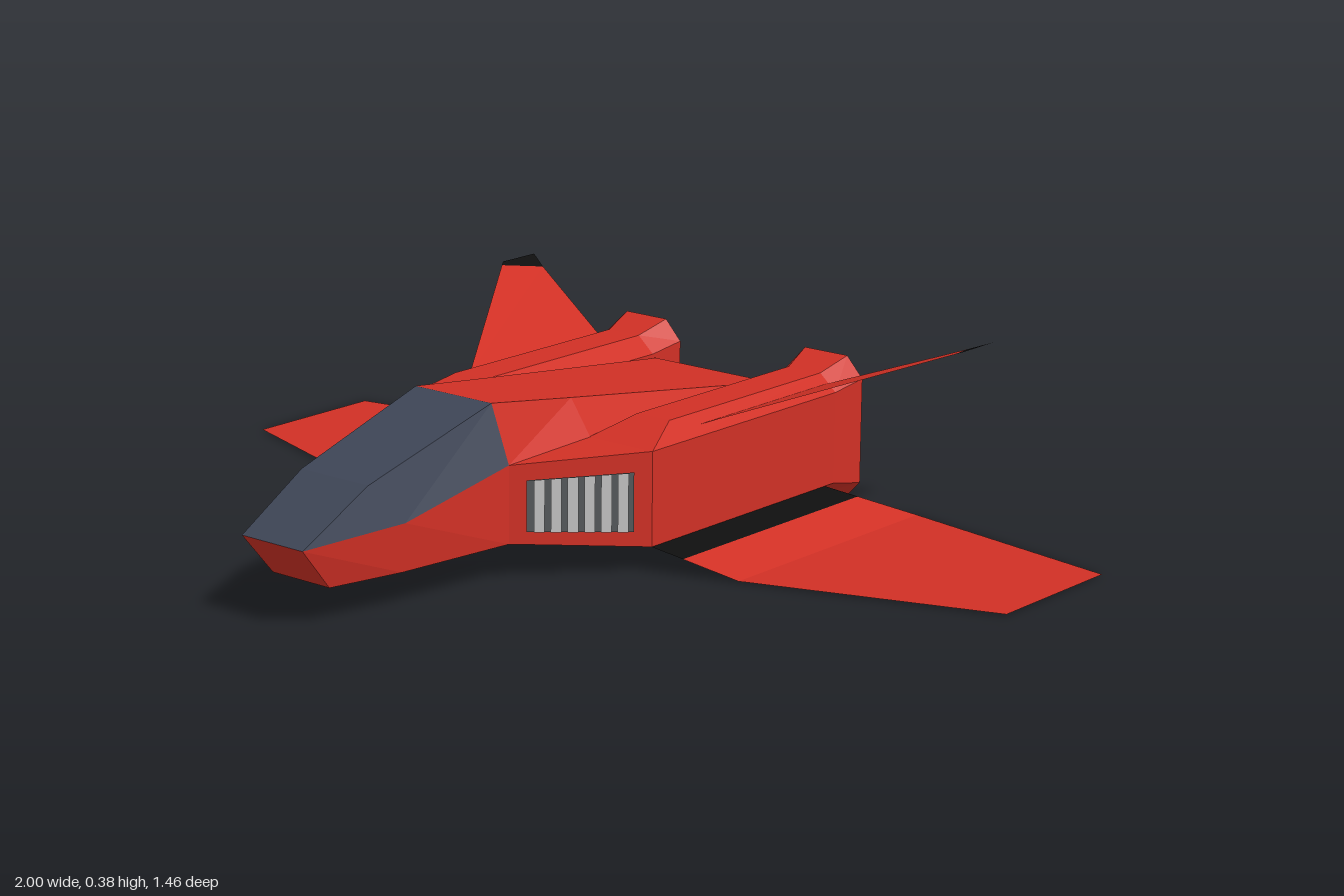
import * as THREE from 'three';

const mat = (name, color) => {
  const m = new THREE.MeshStandardMaterial({ color, side: THREE.DoubleSide });
  m.name = name;
  return m;
};

// Flat-faced surface through rows of [x, y, z] points
function panel(rows, material, name, closed = false) {
  const pos = [];
  const tri = (a, b, c) => {
    const n = new THREE.Vector3().subVectors(new THREE.Vector3(...b), new THREE.Vector3(...a))
      .cross(new THREE.Vector3().subVectors(new THREE.Vector3(...c), new THREE.Vector3(...a)));
    if (n.length() > 1e-7) pos.push(...a, ...b, ...c);
  };
  for (let i = 0; i < rows.length - 1; i++) {
    const a = rows[i], b = rows[i + 1];
    for (let j = 0; j < a.length - (closed ? 0 : 1); j++) {
      const k = (j + 1) % a.length;
      tri(a[j], b[j], b[k]);
      tri(a[j], b[k], a[k]);
    }
  }
  const g = new THREE.BufferGeometry();
  g.setAttribute('position', new THREE.Float32BufferAttribute(pos, 3));
  g.computeVertexNormals();
  const mesh = new THREE.Mesh(g, material);
  mesh.name = name;
  return mesh;
}

const flip = ([x, y, z]) => [-x, y, z];
// Completes a half section across the centre line
const both = (half) => [...half, ...half.slice().reverse().map(flip)];
const mix = (a, b, t) => a.map((v, i) => v + (b[i] - v) * t);

export function createModel() {
  const model = new THREE.Group();
  model.name = 'starfighter';
  const red = mat('red', 0xd03025);
  const glass = mat('canopy slate', 0x3e4556);
  const black = mat('black', 0x0e0e0e);
  const blue = mat('engine blue', 0x8ccfe4);
  const dark = mat('dark grey', 0x55585a);
  const light = mat('light grey', 0xc2c2c2);

  // Points shared by the nose, canopy and spine
  const tip = [0.08, 0.165, 0.725];
  const lowMid = [0.122, 0.175, 0.49], lowBack = [0.145, 0.235, 0.22];
  const ridgeMid = [0.088, 0.257, 0.555], ridgeBack = [0.1, 0.352, 0.22];
  const chin = [0.075, 0.075, 0.65];

  model.add(
    panel([both([tip, chin]), both([lowMid, [0.112, 0.075, 0.49]]),
      both([lowBack, [0.145, 0.075, 0.22]])], red, 'nose'),
    panel([both([tip]), both([chin])], red, 'noseChin'),
    panel([both([tip, tip]), both([lowMid, ridgeMid]), both([lowBack, ridgeBack])], glass, 'canopy'),
    panel([both([lowBack, ridgeBack]), both([[0.165, 0.25, 0], [0.115, 0.322, 0]]),
      both([[0.165, 0.235, -0.595], [0.155, 0.243, -0.595]])], red, 'spine'),
    panel([both([[0.145, 0.075, 0.22]]), both([[0.325, 0.055, 0]])], red, 'intakeFloor'),
    panel([both([[0.165, 0.055, 0]]), both([[0.165, 0.055, -0.595]])], red, 'belly'),
    panel([both([[0.165, 0.055, -0.595]]), both([[0.158, 0.243, -0.595]])], red, 'rearWall'),
  );

  // Eight-sided engine section: side, chamfer and top limits
  const section = (z, x0, x1, y0, y1, inset, lo, hi) => [
    [x1, y0, z], [x1, y1, z], [x1 - inset, hi, z], [x0 + inset, hi, z],
    [x0, y1, z], [x0, y0, z], [x0 + inset, lo, z], [x1 - inset, lo, z]];

  const buildSide = () => {
    const side = new THREE.Group();

    // Slanted intake cheek with its roof
    const fb = [0.145, 0.075, 0.22], ft = lowBack;
    const bb = [0.325, 0.055, 0], bt = [0.325, 0.25, 0];
    side.add(panel([[fb, ft], [bb, bt]], red, 'intakeCheek'));
    side.add(panel([[ft, ft], [bt, [0.165, 0.25, 0]]], red, 'intakeRoof'));

    // Grille plates lying just off the cheek
    const plate = (u0, u1, off, material, name) => {
      const at = (u, v) => {
        const p = mix(mix(fb, bb, u), mix(ft, bt, u), v);
        return [p[0] + 0.774 * off, p[1], p[2] + 0.633 * off];
      };
      return panel([[at(u0, 0.16), at(u0, 0.8)], [at(u1, 0.16), at(u1, 0.8)]], material, name);
    };
    side.add(plate(0.12, 0.87, 0.003, dark, 'grille'));
    for (let i = 0; i < 6; i++) {
      const u = 0.17 + i * 0.117;
      side.add(plate(u, u + 0.075, 0.006, light, 'grilleSlat'));
    }

    // Engine pod with flared end
    const neck = section(-0.595, 0.163, 0.325, 0.055, 0.25, 0.04, 0.025, 0.285);
    side.add(panel([
      section(0, 0.163, 0.325, 0.055, 0.25, 0, 0.055, 0.25),
      section(-0.1, 0.163, 0.325, 0.055, 0.25, 0.04, 0.025, 0.285),
      neck,
      section(-0.67, 0.148, 0.338, 0.042, 0.267, 0.04, 0, 0.31),
    ], red, 'enginePod', true));

    // Nozzle lining, back plate and burner
    const inner = section(-0.6, 0.185, 0.301, 0.075, 0.235, 0.03, 0.05, 0.262);
    side.add(panel([inner,
      section(-0.671, 0.151, 0.335, 0.044, 0.265, 0.04, 0.003, 0.307)], blue, 'nozzleLining', true));
    const centre = inner.map(() => [0.243, 0.156, -0.6]);
    side.add(panel([centre, inner], blue, 'nozzlePlate', true));
    const burner = new THREE.Mesh(new THREE.CylinderGeometry(0.026, 0.026, 0.008, 8), light);
    burner.rotation.x = Math.PI / 2;
    burner.position.set(0.243, 0.156, -0.605);
    burner.name = 'burner';
    side.add(burner);

    // Wing: drooping root with black walkway, then flat outer panel
    const rootF = [0.325, 0.055, 0], rootB = [0.325, 0.055, -0.565];
    const kinkF = [0.49, 0.003, -0.066], kinkB = [0.49, 0.003, -0.664];
    const stripF = mix(rootF, kinkF, 0.36), stripB = mix(rootB, kinkB, 0.36);
    side.add(panel([[rootF, rootB], [stripF, stripB]], black, 'wingRootStrip'));
    side.add(panel([[stripF, stripB], [kinkF, kinkB],
      [[1, 0.003, -0.24], [1, 0.003, -0.572]]], red, 'wing'));

    // Canted tail fin with black tip
    const capF = [0.609, 0.376, -0.609], capB = [0.572, 0.362, -0.705];
    side.add(panel([[[0.305, 0.266, -0.165], [0.305, 0.266, -0.59]], [capF, capB]], red, 'tailFin'));
    side.add(panel([[capF, capB], [[0.62, 0.38, -0.625], [0.62, 0.38, -0.73]]], black, 'tailFinTip'));
    return side;
  };

  const left = buildSide();
  left.name = 'leftSide';
  const right = buildSide();
  right.name = 'rightSide';
  right.scale.x = -1;
  model.add(left, right);
  return model;
}
